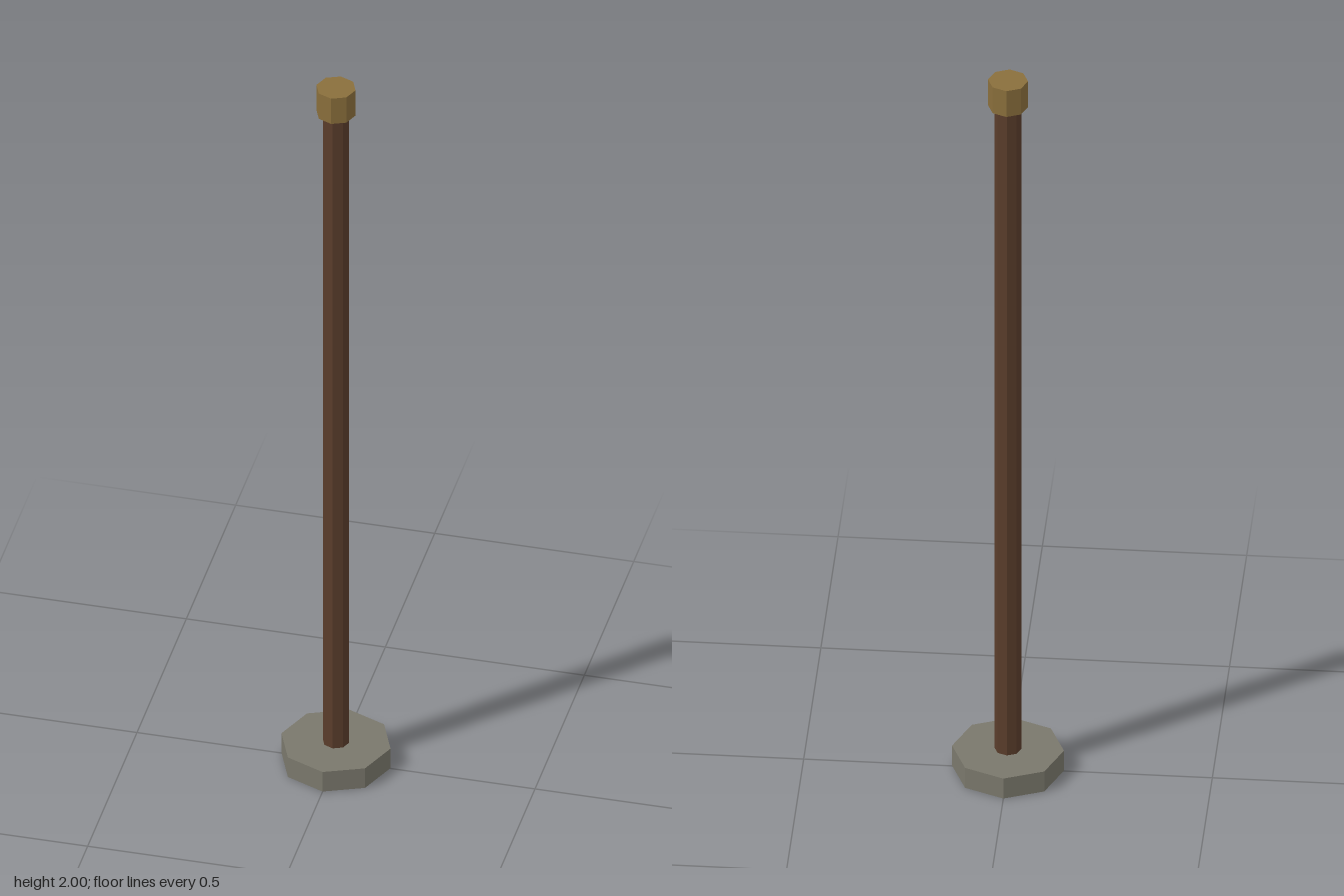
import * as THREE from 'three';

const SIDES = 8;

// Eight-sided upright prism between two heights
function prism(name, radius, bottom, top, color) {
  const geometry = new THREE.CylinderGeometry(radius, radius, top - bottom, SIDES);
  const material = new THREE.MeshStandardMaterial({ color, flatShading: true });
  const mesh = new THREE.Mesh(geometry, material);
  mesh.name = name;
  mesh.position.y = (bottom + top) / 2;
  return mesh;
}

export function createModel() {
  const model = new THREE.Group();
  model.name = 'post';

  // Stone foot; the pole passes through it and shows underneath
  model.add(prism('base', 0.137, 0.001, 0.059, 0x7a786c));
  // Wooden pole
  model.add(prism('pole', 0.033, 0, 1.96, 0x5a3d2b));
  // Brass cap
  model.add(prism('cap', 0.049, 1.925, 2, 0x8a6f3c));

  return model;
}
